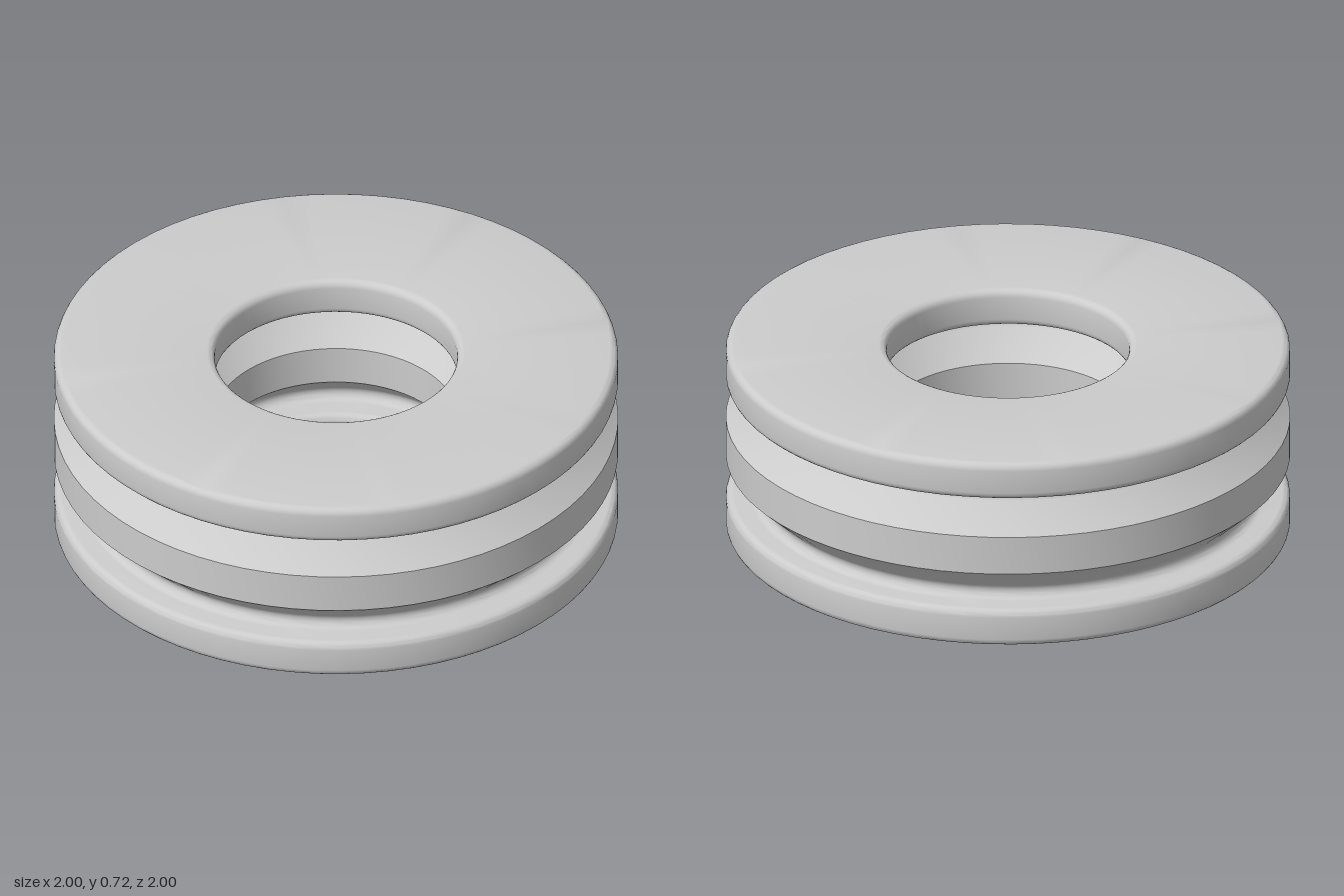
import * as THREE from 'three';
import { toCreasedNormals } from 'three/addons/utils/BufferGeometryUtils.js';

const MID_R = 0.715;   // middle of the ring's cross-section
const MID_Y = 0.358;   // half height

// Points along an arc, angles in degrees
function arc(cx, cy, r, from, to, steps) {
  return Array.from({ length: steps + 1 }, (_, i) => {
    const a = THREE.MathUtils.degToRad(from + (to - from) * i / steps);
    return [cx + r * Math.cos(a), cy + r * Math.sin(a)];
  });
}

export function createModel() {
  const group = new THREE.Group();

  // Upper outer quarter of the cross-section, relative to its middle
  const quarter = [
    [0.285, 0.072],                           // edge of the central ridge
    ...arc(0.203, 0.187, 0.03, 223, 90, 8),   // rounded groove
    ...arc(0.257, 0.245, 0.028, -90, 0, 5),   // lower flange corner
    ...arc(0.257, 0.33, 0.028, 0, 90, 5),     // upper flange corner
  ];

  // Mirror to the bore side, then turn by half for the lower part
  const upper = [...quarter, ...quarter.map(([u, v]) => [-u, v]).reverse()];
  const section = [...upper, ...upper.map(([u, v]) => [-u, -v])];
  section.push(section[0]);

  // Revolve the closed section into the grooved ring
  const points = section.map(([u, v]) => new THREE.Vector2(MID_R + u, MID_Y + v));
  const geometry = toCreasedNormals(new THREE.LatheGeometry(points, 72), 0.5);
  const ring = new THREE.Mesh(geometry, new THREE.MeshStandardMaterial({ color: 0xcccccc }));
  ring.name = 'groovedRing';
  group.add(ring);

  return group;
}
